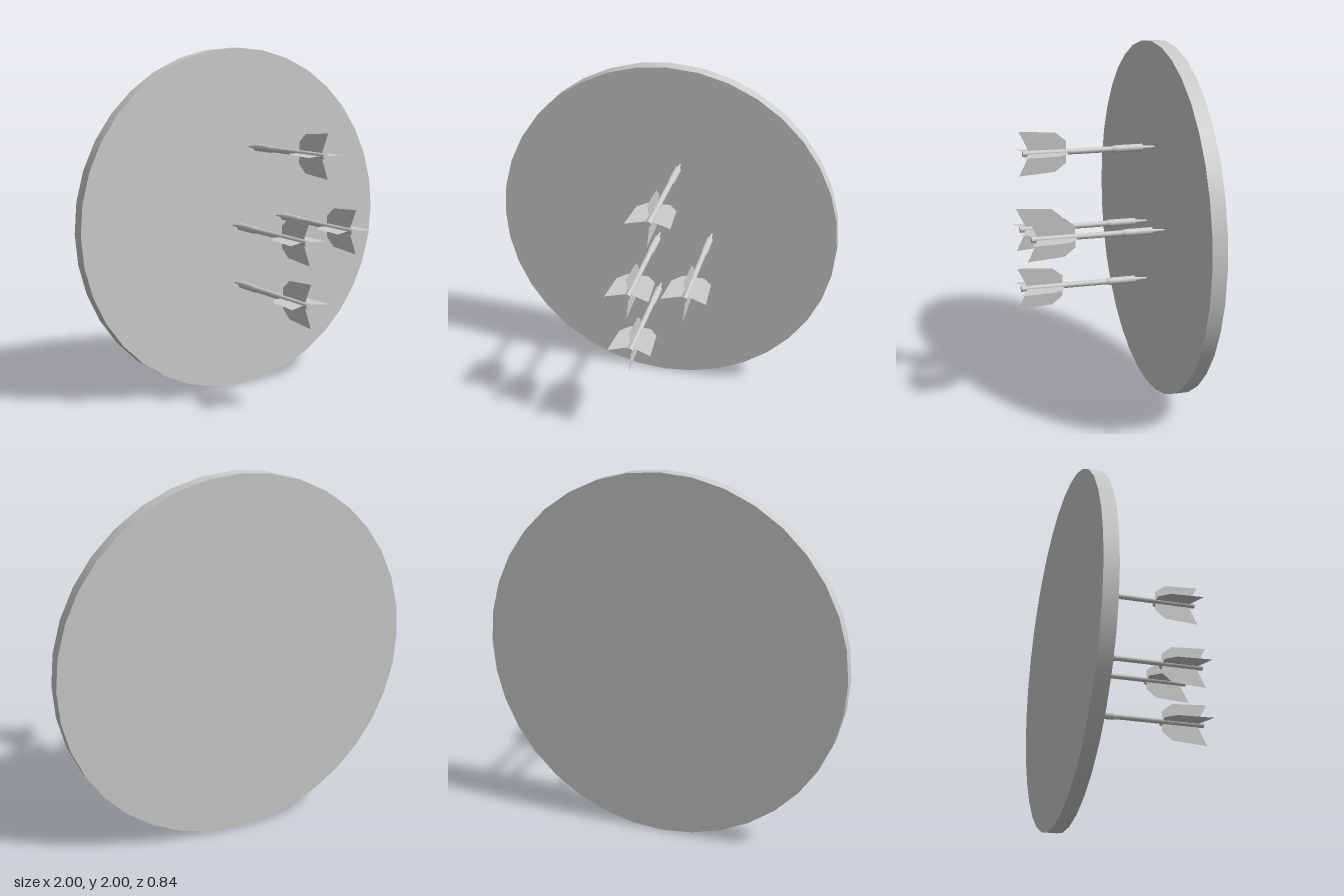
import * as THREE from 'three';

const grey = new THREE.MeshStandardMaterial({ color: 0xcccccc, side: THREE.DoubleSide });
grey.name = 'plainGrey';

// Round section along z, from zBack (radius rBack) to zFront (radius rFront)
function rod(name, zBack, rBack, zFront, rFront, sides = 16) {
  const geometry = new THREE.CylinderGeometry(rFront, rBack, zFront - zBack, sides);
  geometry.rotateX(Math.PI / 2);
  geometry.translate(0, 0, (zBack + zFront) / 2);
  const mesh = new THREE.Mesh(geometry, grey);
  mesh.name = name;
  return mesh;
}

// Swept flight blade: first value is distance from the axis, second is z
function flightGeometry() {
  const outline = [[0, 0.16], [0.06, 0.16], [0.108, 0.22], [0.122, 0.42], [0.025, 0.372], [0, 0.372]];
  const shape = new THREE.Shape(outline.map(([r, z]) => new THREE.Vector2(r, z)));
  return new THREE.ShapeGeometry(shape).rotateX(Math.PI / 2);
}

function createDart() {
  const dart = new THREE.Group();
  dart.add(
    rod('tip', -0.345, 0.005, -0.27, 0.011),
    rod('barrel', -0.27, 0.021, -0.12, 0.021),
    rod('barrelTaper', -0.12, 0.021, -0.095, 0.016),
    rod('shaft', -0.095, 0.016, 0.4, 0.016),
  );
  const blade = flightGeometry();
  for (let i = 0; i < 4; i++) {
    const flight = new THREE.Mesh(blade, grey);
    flight.name = 'flight';
    flight.rotation.z = i * Math.PI / 2;
    dart.add(flight);
  }
  return dart;
}

export function createModel() {
  const model = new THREE.Group();
  model.name = 'dartboardWithDarts';

  // Upright disc
  const board = rod('board', -0.42, 1, -0.34, 1, 36);
  board.position.y = 1;
  model.add(board);

  // Darts stuck in the board
  const hits = [[0.08, 1.43], [0.275, 1.007], [-0.035, 0.975], [-0.025, 0.63]];
  for (const [x, y] of hits) {
    const dart = createDart();
    dart.name = 'dart';
    dart.position.set(x, y, 0);
    model.add(dart);
  }
  return model;
}
